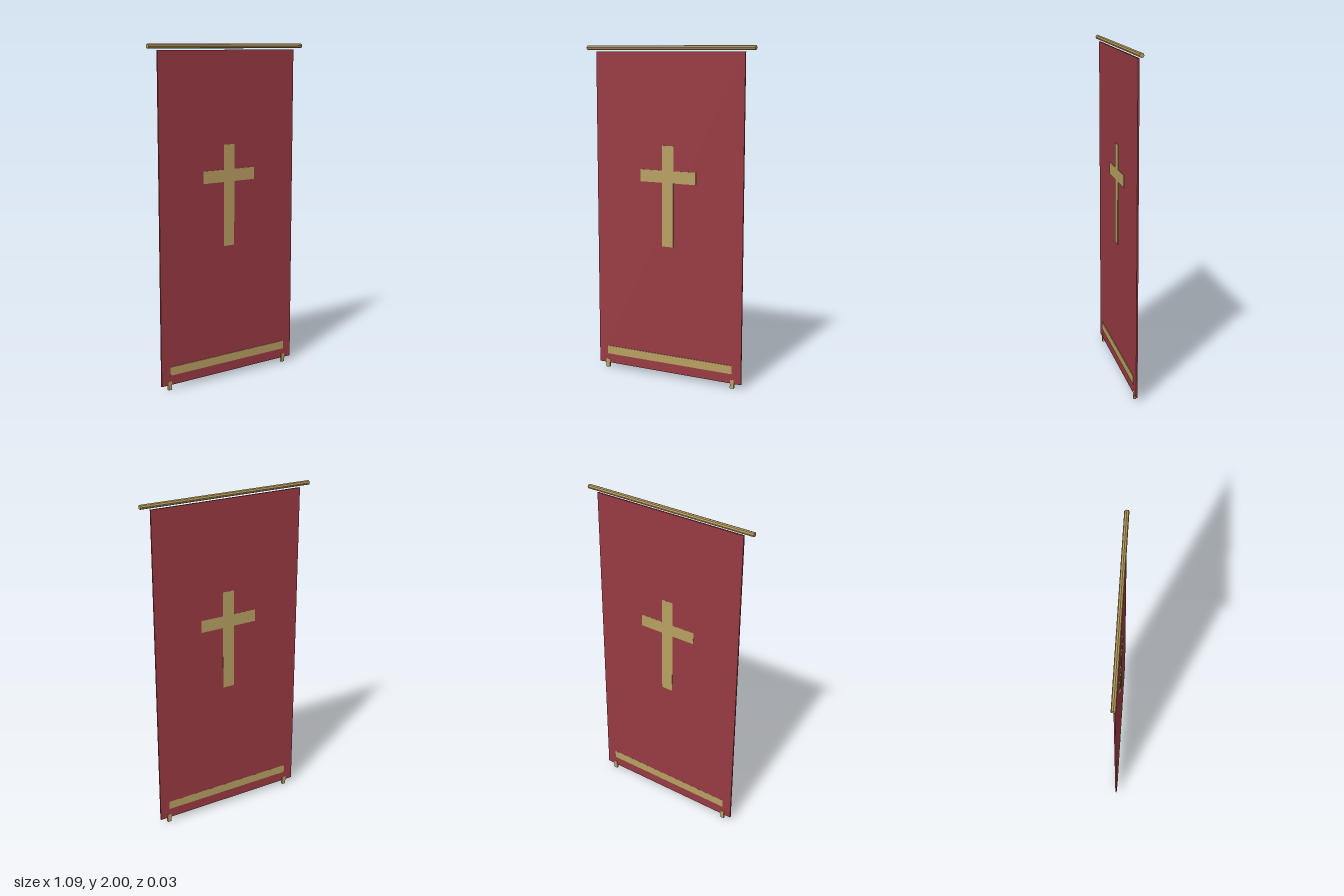
import * as THREE from 'three';

const material = (color) => new THREE.MeshStandardMaterial({ color, flatShading: true });

export function createModel() {
  const model = new THREE.Group();
  const red = material(0x983a42);
  const gold = material(0xb8a062);
  const rodGold = material(0xb89a5a);

  const add = (name, geometry, mat, x, y, z) => {
    const mesh = new THREE.Mesh(geometry, mat);
    mesh.name = name;
    mesh.position.set(x, y, z);
    model.add(mesh);
    return mesh;
  };

  // hanging rod along x
  const rod = add('rod', new THREE.CylinderGeometry(0.0135, 0.0135, 1.09, 8), rodGold, 0, 1.9865, 0);
  rod.rotation.z = Math.PI / 2;

  // cloth panel
  add('cloth', new THREE.BoxGeometry(0.966, 1.935, 0.009), red, 0, 0.9975, 0);

  // trim goes through the cloth: proud at the front, nearly flush at the back
  const back = -0.0048, depth = 0.0128;

  // cross, outlined as one half and mirrored
  const half = [[0.037, 0.815], [0.037, 1.2], [0.183, 1.2], [0.183, 1.273], [0.037, 1.273], [0.037, 1.42]];
  const outline = [...half, ...half.map(([x, y]) => [-x, y]).reverse()];
  const shape = new THREE.Shape(outline.map(([x, y]) => new THREE.Vector2(x, y)));
  add('cross', new THREE.ExtrudeGeometry(shape, { depth, bevelEnabled: false }), gold, 0, 0, back);

  // band near the hem
  add('band', new THREE.BoxGeometry(0.847, 0.051, depth), gold, 0, 0.114, back + depth / 2);

  // small tabs at the bottom corners
  for (const side of [1, -1]) {
    add(side > 0 ? 'leftTab' : 'rightTab', new THREE.BoxGeometry(0.024, 0.054, 0.012), gold, side * 0.425, 0.027, 0);
  }
  return model;
}
